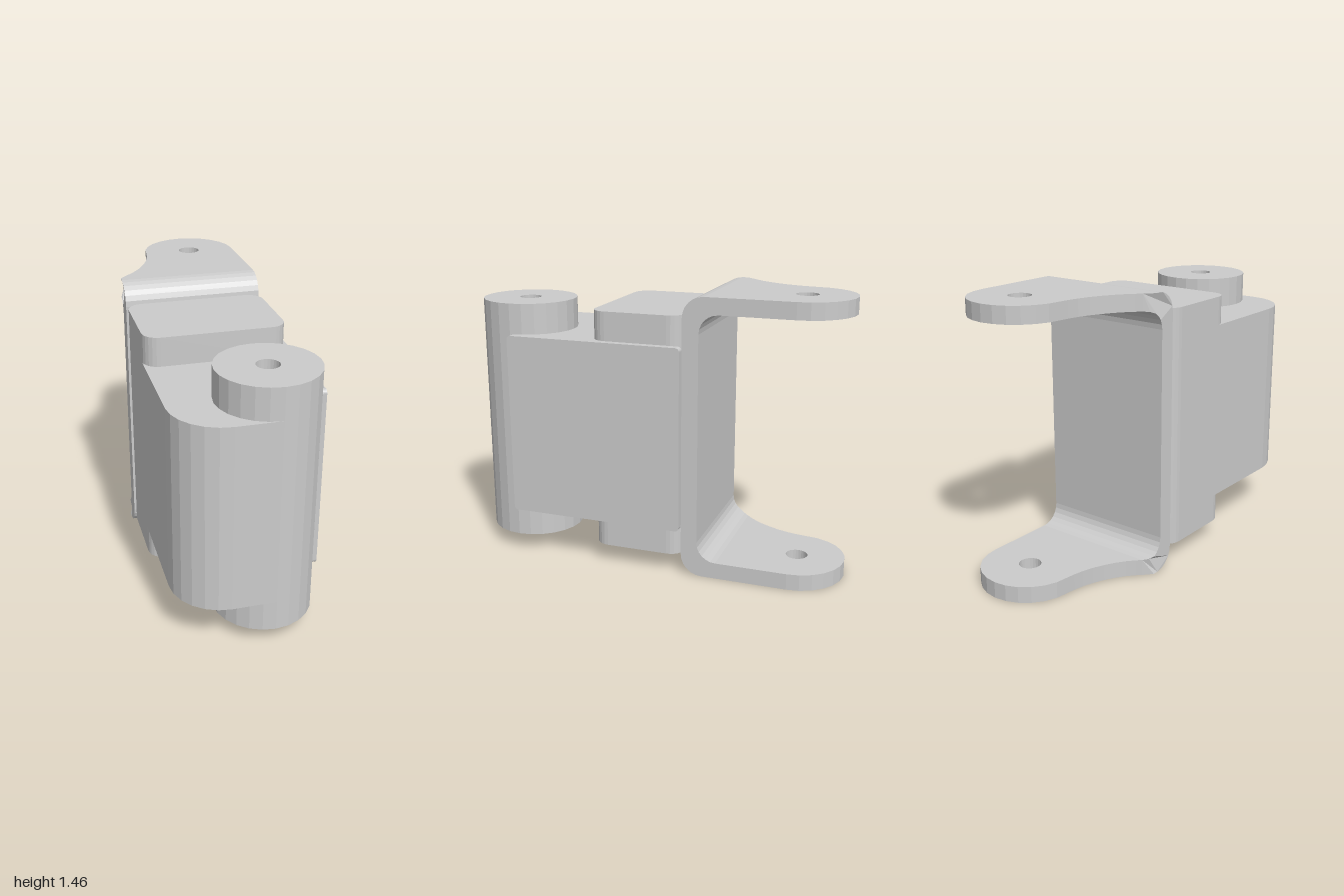
import * as THREE from 'three';

const LEFT = 0.34, RIGHT = -0.38;      // shared side faces
const PIN_X = 0.09, PIN_Z = 0.75, KNUCKLE_R = 0.25, HOLE_R = 0.057;
const HEIGHT = 1.46, SHEET = 0.085;
const material = new THREE.MeshStandardMaterial({ color: 0xcccccc, flatShading: true });

// Points along an arc, angles in degrees, roughly 15 degrees per facet
function arc(cx, cy, r, from, to) {
  const n = Math.max(2, Math.round(Math.abs(to - from) / 15));
  return Array.from({ length: n + 1 }, (_, i) => {
    const a = THREE.MathUtils.degToRad(from + ((to - from) * i) / n);
    return new THREE.Vector2(cx + r * Math.cos(a), cy + r * Math.sin(a));
  });
}
const point = (x, y) => [new THREE.Vector2(x, y)];

function roundedRect(x0, y0, x1, y1, r) {
  return [
    ...arc(x1 - r, y0 + r, r, -90, 0), ...arc(x1 - r, y1 - r, r, 0, 90),
    ...arc(x0 + r, y1 - r, r, 90, 180), ...arc(x0 + r, y0 + r, r, 180, 270),
  ];
}

function extrude(points, depth, hole) {
  const shape = new THREE.Shape(points);
  if (hole) shape.holes.push(new THREE.Path(arc(hole[0], hole[1], HOLE_R, 0, 345)));
  return new THREE.ExtrudeGeometry(shape, { depth, bevelEnabled: false });
}
// Plan outline (x, -z) raised from y0 to y1
const upright = (points, y0, y1, hole) =>
  extrude(points, y1 - y0, hole).rotateX(-Math.PI / 2).translate(0, y0, 0);
// Side outline (-z, y) swept from x0 to x1
const sideways = (points, x0, x1) =>
  extrude(points, x1 - x0).rotateY(Math.PI / 2).translate(x0, 0, 0);

export function createModel() {
  const group = new THREE.Group();
  const add = (name, geometry) => {
    const mesh = new THREE.Mesh(geometry, material);
    mesh.name = name;
    group.add(mesh);
  };

  // Main block, its front right corner rounded and its front left merging with the knuckle
  const pin = [PIN_X, -PIN_Z];
  const back = 0.19;
  add('body', upright([
    ...arc(RIGHT + 0.25, -0.75, 0.25, 180, 270),
    ...arc(PIN_X, -PIN_Z, KNUCKLE_R, -90, 0),
    ...arc(LEFT - 0.08, back - 0.08, 0.08, 0, 90),
    ...arc(RIGHT + 0.08, back - 0.08, 0.08, 90, 180),
  ], 0.25, 1.21, pin));

  // Raised pads and knuckle ends above and below the block
  const padOutline = roundedRect(RIGHT, -0.30, LEFT, back, 0.08);
  add('lowerPad', upright(padOutline, 0.10, 0.25));
  add('upperPad', upright(padOutline, 1.21, 1.36));
  const knuckle = arc(...pin, KNUCKLE_R, 0, 345);
  add('lowerKnuckle', upright(knuckle, 0.09, 0.25, pin));
  add('upperKnuckle', upright(knuckle, 1.21, 1.37, pin));

  // Thin cover on the left side
  add('sidePlate', sideways(roundedRect(-0.75, 0.25, back, 1.21, 0.02), LEFT, 0.38));

  // Bent sheet: back plate with the two bends
  const end = 0.375, cut = 0.33, slope = 0.9;
  const lowerOuter = [...point(end, 0), ...point(cut, 0), ...arc(0.30, 0.11, 0.11, 270, 180)];
  const lowerInner = arc(end, SHEET + 0.1, 0.1, 180, 270);
  const flip = (pts) => pts.map((p) => new THREE.Vector2(p.x, HEIGHT - p.y)).reverse();
  const plate = sideways(
    [...lowerOuter, ...flip(lowerOuter), ...flip(lowerInner), ...lowerInner], RIGHT, LEFT);
  // Trim the right edge of the bends where the tapered tabs begin
  const pos = plate.attributes.position;
  for (let i = 0; i < pos.count; i++) {
    const past = -pos.getZ(i) - cut;
    if (pos.getX(i) < 0 && past > 0) pos.setX(i, RIGHT + past * slope);
  }
  plate.computeVertexNormals();
  add('bracketPlate', plate);

  // Tapered mounting tabs with pin holes
  const taper = new THREE.SplineCurve([
    [RIGHT + (end - cut) * slope, end], [-0.295, 0.42], [-0.245, 0.49],
    [-0.2, 0.58], [-0.172, 0.67], [-0.16, 0.75],
  ].map(([x, y]) => new THREE.Vector2(x, y))).getPoints(8).reverse();
  const tab = [
    ...point(LEFT, end),
    ...arc(PIN_X, PIN_Z, KNUCKLE_R, 0, 180),
    ...taper.slice(1),
  ];
  add('lowerTab', upright(tab, 0, SHEET, [PIN_X, PIN_Z]));
  add('upperTab', upright(tab, HEIGHT - SHEET, HEIGHT, [PIN_X, PIN_Z]));

  return group;
}
